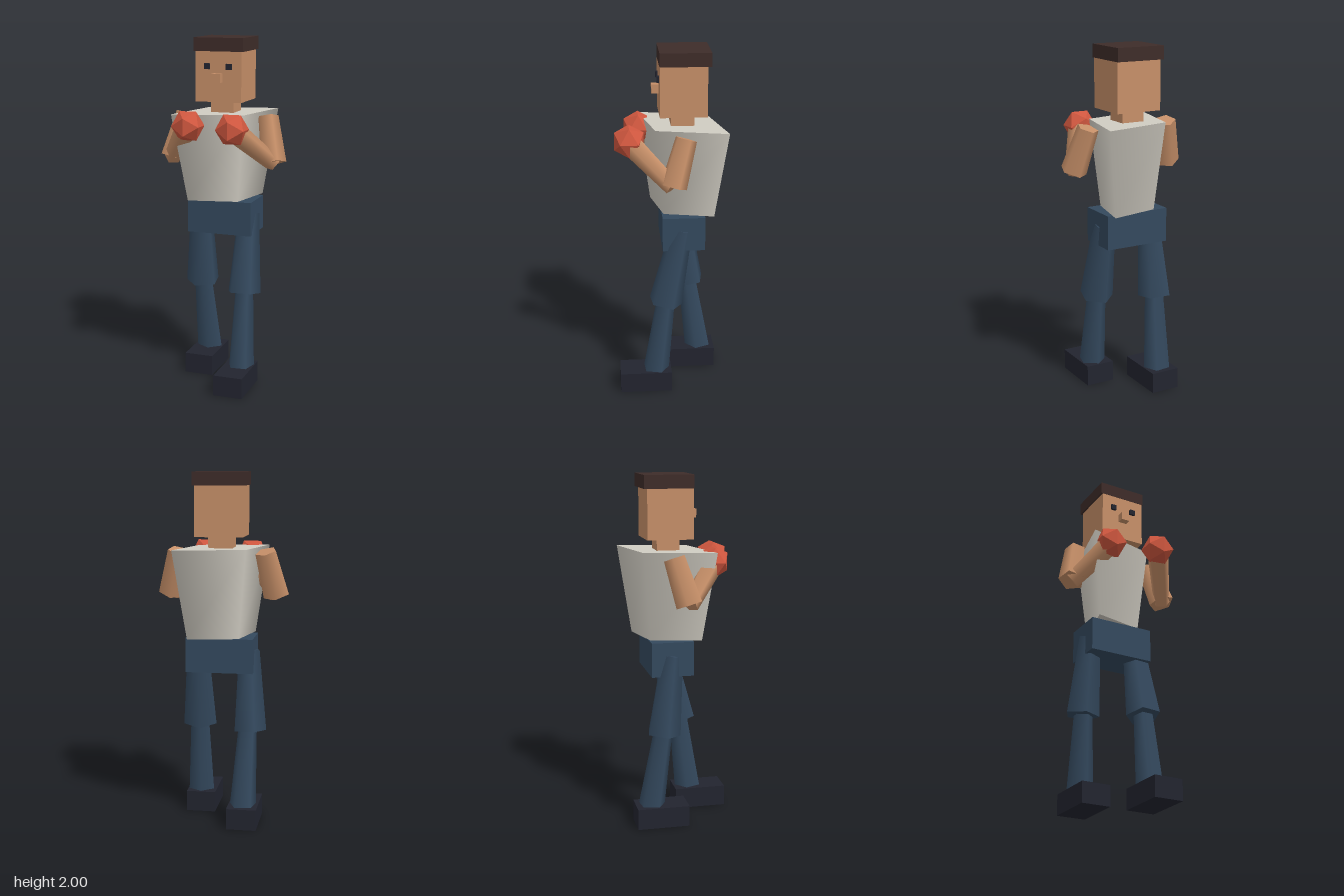
import * as THREE from 'three';

const mat = (color, flatShading = false) => new THREE.MeshStandardMaterial({ color, flatShading });

export function createModel() {
  const model = new THREE.Group();
  const skin = mat(0xc68f68), hair = mat(0x3e2c29), shirt = mat(0xd0ccc2);
  const denim = mat(0x34495e), dark = mat(0x22242f), red = mat(0xd0573f, true);
  const up = new THREE.Vector3(0, 1, 0);

  const add = (name, geometry, material, x, y, z) => {
    const mesh = new THREE.Mesh(geometry, material);
    mesh.name = name;
    mesh.position.set(x, y, z);
    model.add(mesh);
    return mesh;
  };
  const box = (name, material, w, h, d, x, y, z) =>
    add(name, new THREE.BoxGeometry(w, h, d), material, x, y, z);

  // Five-sided limb that widens from point a to point b
  const limb = (name, material, a, b, ra, rb) => {
    const start = new THREE.Vector3(...a), end = new THREE.Vector3(...b);
    const dir = end.clone().sub(start);
    const mid = start.clone().add(end).multiplyScalar(0.5);
    const mesh = add(name, new THREE.CylinderGeometry(rb, ra, dir.length(), 5), material, mid.x, mid.y, mid.z);
    mesh.quaternion.setFromUnitVectors(up, dir.normalize());
  };

  // Head, hair, face and neck
  box('head', skin, 0.27, 0.3, 0.26, 0, 1.795, -0.07);
  box('hair', hair, 0.288, 0.075, 0.281, 0, 1.9625, -0.079);
  box('neck', skin, 0.135, 0.1, 0.13, 0, 1.61, -0.07);
  box('nose', skin, 0.05, 0.05, 0.05, 0, 1.78, 0.075);
  for (const s of [1, -1]) {
    box(s > 0 ? 'leftEye' : 'rightEye', dark, 0.032, 0.032, 0.03, s * 0.064, 1.843, 0.058);
  }

  // Four-sided torso, squashed and turned into a diamond plan
  const torso = new THREE.CylinderGeometry(1, 0.71, 0.5, 4);
  torso.scale(0.22, 1, 0.34).rotateY(-Math.PI / 4);
  add('torso', torso, shirt, 0, 1.33, -0.07);
  box('pelvis', denim, 0.38, 0.195, 0.24, 0, 0.9825, -0.07);

  // Guarded arms; the left fist reaches further forward
  for (const [side, s, reach] of [['left', 1, 0.23], ['right', -1, 0.17]]) {
    const elbow = [s * 0.303, 1.31, 0.0], fist = [s * 0.14, 1.52, reach];
    limb(side + 'UpperArm', skin, [s * 0.248, 1.56, -0.072], elbow, 0.062, 0.077);
    limb(side + 'Forearm', skin, elbow, fist, 0.05, 0.066);
    add(side + 'Fist', new THREE.IcosahedronGeometry(0.095, 0), red, ...fist);
  }

  // Striding legs: left forward, right back
  const legs = [
    ['left', [0.14, 1.0, -0.06], [0.145, 0.545, 0.034], [0.148, 0.1, 0.092], [0.14, 0.15]],
    ['right', [-0.15, 1.0, -0.07], [-0.162, 0.545, -0.122], [-0.137, 0.1, -0.187], [-0.14, -0.13]],
  ];
  for (const [side, hip, knee, ankle, foot] of legs) {
    const shinTop = [knee[0] * 0.7 + ankle[0] * 0.3, knee[1], knee[2]];
    limb(side + 'Thigh', denim, hip, knee, 0.065, 0.1);
    limb(side + 'Shin', denim, shinTop, ankle, 0.056, 0.079);
    box(side + 'Shoe', dark, 0.17, 0.12, 0.3, foot[0], 0.06, foot[1]);
  }
  return model;
}
